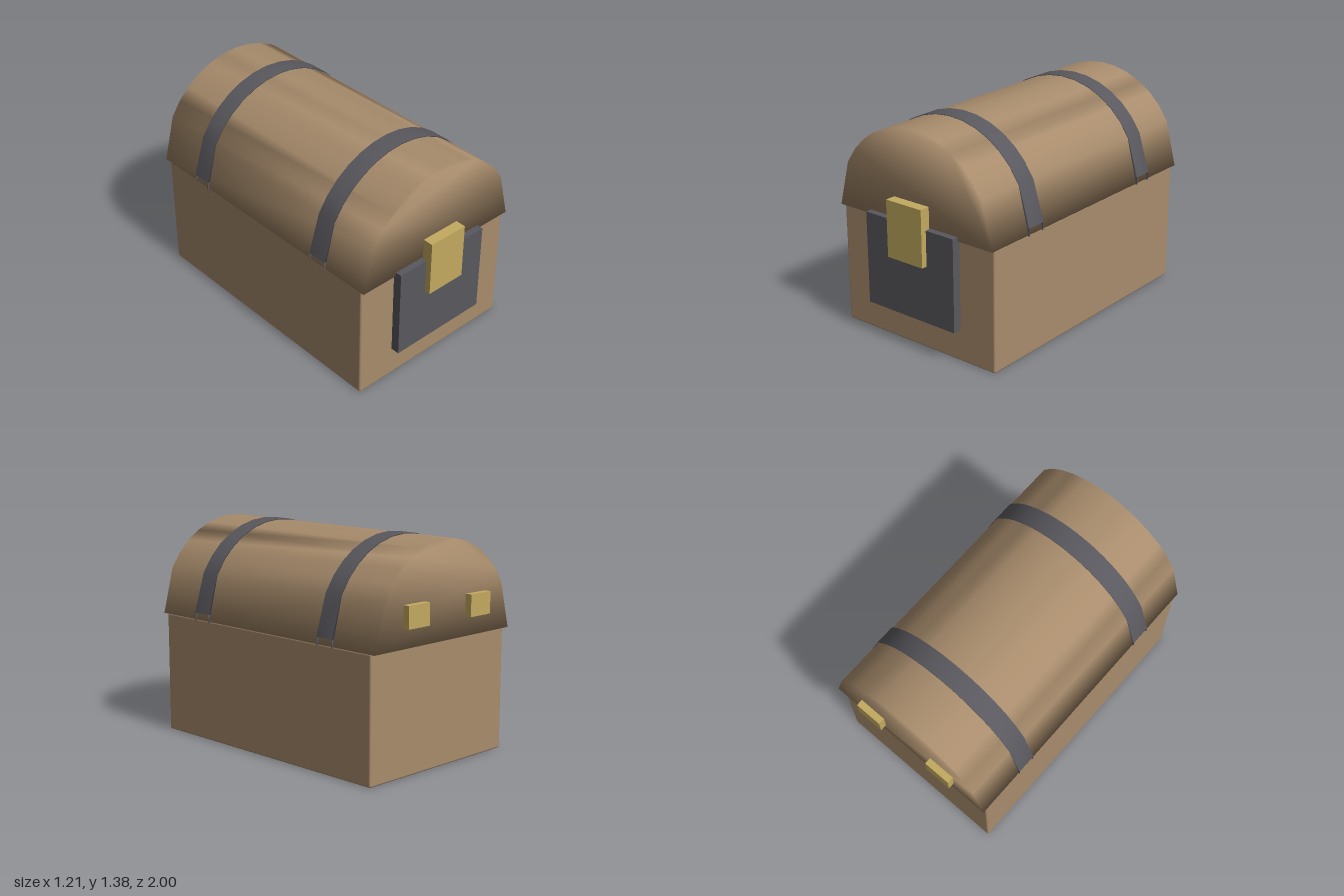
import * as THREE from 'three';
import { mergeVertices } from 'three/addons/utils/BufferGeometryUtils.js';
import { RoundedBoxGeometry } from 'three/addons/geometries/RoundedBoxGeometry.js';

const material = (name, color, extra = {}) => {
  const m = new THREE.MeshStandardMaterial({ color, ...extra });
  m.name = name;
  return m;
};

// Extrude a closed outline from z0 to z1 with normals shared across every edge
function softExtrude(points, z0, z1) {
  const geo = new THREE.ExtrudeGeometry(new THREE.Shape(points), { depth: z1 - z0, bevelEnabled: false });
  geo.translate(0, 0, z0);
  geo.deleteAttribute('uv');
  geo.deleteAttribute('normal');
  const merged = mergeVertices(geo, 1e-4);
  merged.computeVertexNormals();
  return merged;
}

// Arch points from +x over the top to -x; the lowest facet is the longest
function arch(radius, base) {
  const angles = [29, 40, 50, 60, 70, 80, 90, 100, 110, 120, 130, 140, 151];
  return angles.map(a => {
    const t = THREE.MathUtils.degToRad(a);
    return new THREE.Vector2(radius * Math.cos(t), base + radius * Math.sin(t));
  });
}

export function createModel() {
  const chest = new THREE.Group();
  chest.name = 'chest';
  const wood = material('wood', 0xa88c6c);
  const iron = material('iron', 0x58585e, { side: THREE.DoubleSide });
  const brass = material('brass', 0xc3aa60);

  const add = (name, geo, mat) => {
    const mesh = new THREE.Mesh(geo, mat);
    mesh.name = name;
    chest.add(mesh);
  };
  // Box given by its limits on each axis
  const box = (name, mat, [x0, x1], [y0, y1], [z0, z1]) => {
    const geo = new THREE.BoxGeometry(x1 - x0, y1 - y0, z1 - z0);
    geo.translate((x0 + x1) / 2, (y0 + y1) / 2, (z0 + z1) / 2);
    add(name, geo, mat);
  };

  // Body with slightly eased edges
  const body = new RoundedBoxGeometry(1.186, 0.778, 1.82, 2, 0.012);
  body.translate(0, 0.389, -0.015);
  add('body', body, wood);

  // Domed lid
  const V = (x, y) => new THREE.Vector2(x, y);
  const base = 0.776;
  add('lid', softExtrude([V(0.6, base), ...arch(0.6, base), V(-0.6, base)], -0.957, 0.92), wood);

  // Iron bands over the lid, with thin lips at their lower ends
  const inner = arch(0.598, base).reverse();
  const outline = [V(0.607, 0.82), ...arch(0.606, base), V(-0.607, 0.82), V(-0.586, 0.82), ...inner, V(0.586, 0.82)];
  for (const [z0, z1] of [[0.465, 0.595], [-0.63, -0.505]]) {
    add('lidBand', softExtrude(outline, z0, z1), iron);
    for (const s of [-1, 1]) {
      const xs = s > 0 ? [0.59, 0.607] : [-0.607, -0.59];
      box('bandLip', iron, xs, [0.77, 0.82], [z0, z0 + 0.003]);
      box('bandLip', iron, xs, [0.77, 0.82], [z1 - 0.003, z1]);
    }
  }

  // Lock plate and latch on the front
  box('lockPlate', iron, [-0.344, 0.342], [0.21, 0.802], [0.905, 0.962]);
  box('latch', brass, [-0.137, 0.136], [0.577, 0.94], [0.932, 1]);

  // Hinges on the back
  for (const x of [-0.277, 0.273]) {
    box('hinge', brass, [x - 0.09, x + 0.09], [0.896, 1.032], [-1, -0.95]);
  }
  return chest;
}
